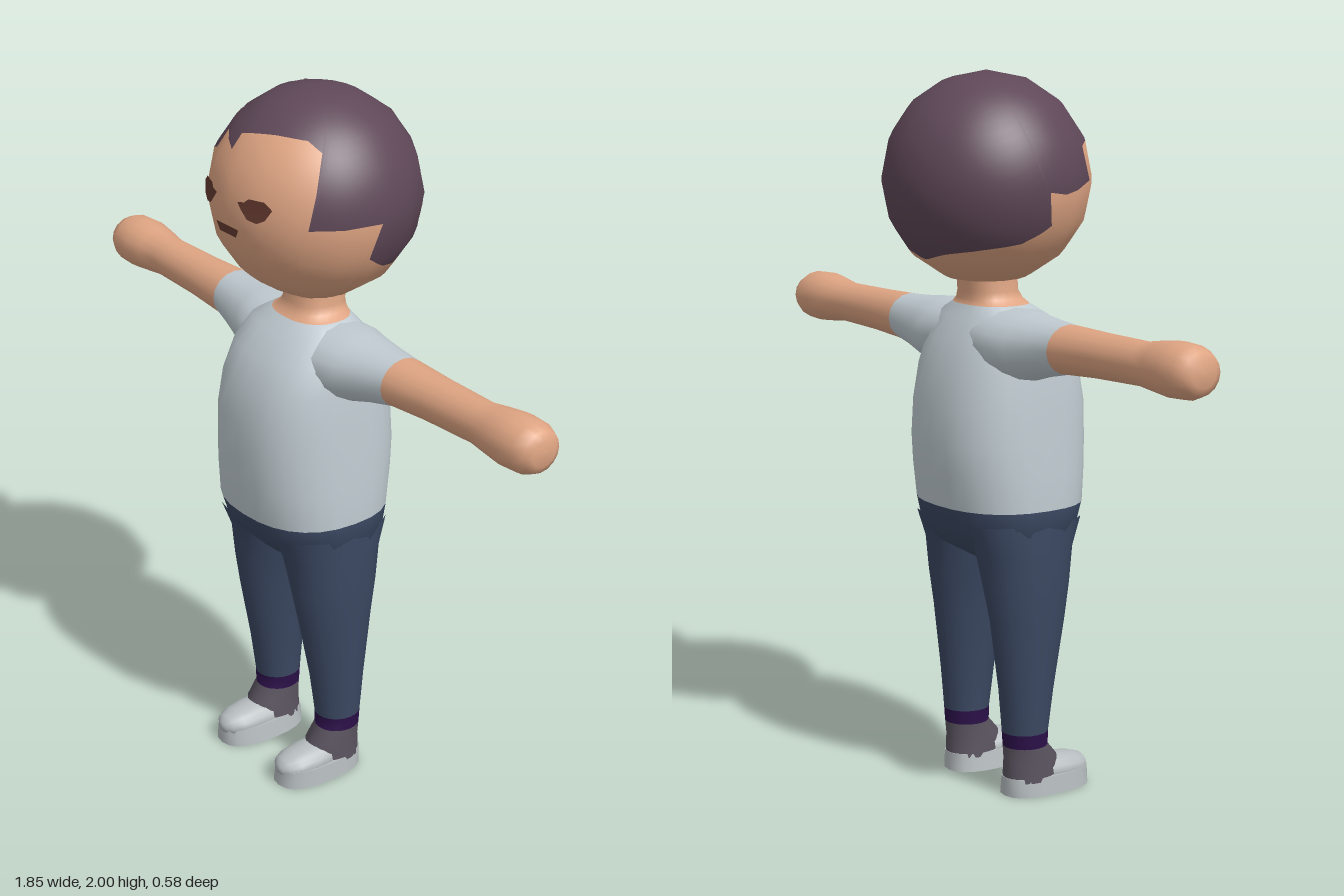
import * as THREE from 'three';

const mat = (name, color) => {
  const m = new THREE.MeshStandardMaterial({ color });
  m.name = name;
  return m;
};

const HEAD_Y = 1.71, HEAD_R = 0.29;
const DEG = Math.PI / 180;

// Hairline heights by column angle: 0 is the front, positive is the model's left
const HAIRLINE = [
  [-180, 1.5], [-163, 1.52], [-122, 1.55], [-114, 1.57], [-104, 1.6], [-102, 1.69],
  [-90, 1.68], [-59, 1.71], [-57, 1.8], [-38, 1.83], [-36, 1.88], [-25, 1.88], [-12, 1.86], [-10, 1.9],
  [0, 1.91], [21, 1.92], [45, 1.915], [56, 1.89], [57.5, 1.84], [59, 1.7],
  [102, 1.7], [104, 1.6], [114, 1.57], [122, 1.55], [163, 1.52], [180, 1.5],
];

function hairHeight(deg) {
  for (let i = 1; i < HAIRLINE.length; i++) {
    const [a0, y0] = HAIRLINE[i - 1], [a1, y1] = HAIRLINE[i];
    if (deg <= a1) return y0 + (y1 - y0) * (deg - a0) / (a1 - a0);
  }
  return HAIRLINE[0][1];
}

// Radius factor that turns a circle into a 16-sided outline
function facet(angle) {
  const step = 22.5 * DEG, m = ((angle % step) + step) % step;
  return Math.cos(step / 2) / Math.cos(m - step / 2);
}

// Part of the head above (hair) or below (skin) the hairline
function headGeometry(upper) {
  const cols = 180, rows = 20, pos = [], nor = [], index = [];
  for (let i = 0; i <= rows; i++) {
    for (let j = 0; j <= cols; j++) {
      const deg = -180 + 360 * j / cols, a = deg * DEG;
      const edge = Math.acos((hairHeight(deg) - HEAD_Y) / HEAD_R);
      const theta = upper ? edge * i / rows : edge + (Math.PI - edge) * i / rows;
      // columns lean forward as they go down, so the temples slant
      const phi = a - Math.sin(a) * 1.3 * (1.87 - HEAD_Y - HEAD_R * Math.cos(theta));
      const n = [Math.sin(theta) * Math.sin(phi), Math.cos(theta), Math.sin(theta) * Math.cos(phi)];
      const rv = HEAD_R * facet(theta), rh = rv * facet(phi);
      pos.push(n[0] * rh, HEAD_Y + n[1] * rv, n[2] * rh);
      nor.push(...n);
      if (i < rows && j < cols) {
        const p = i * (cols + 1) + j, q = p + cols + 1;
        index.push(p, q, p + 1, p + 1, q, q + 1);
      }
    }
  }
  const g = new THREE.BufferGeometry();
  g.setAttribute('position', new THREE.Float32BufferAttribute(pos, 3));
  g.setAttribute('normal', new THREE.Float32BufferAttribute(nor, 3));
  g.setIndex(index);
  return g;
}

// Thin face detail wrapped onto the front of the head
function facePlate(points) {
  const g = new THREE.ShapeGeometry(new THREE.Shape(points.map(p => new THREE.Vector2(...p))));
  const p = g.attributes.position, r = HEAD_R + 0.003;
  for (let i = 0; i < p.count; i++) {
    p.setZ(i, Math.sqrt(r * r - p.getX(i) ** 2 - (p.getY(i) - HEAD_Y) ** 2));
  }
  g.computeVertexNormals();
  return g;
}

// Skin over rings [t, u centre, u radius, v centre, v radius, material index of the band above].
// The basis says which directions u, t and v run in; power sets how square the rings are.
function loft(rings, { basis = [[1, 0, 0], [0, 1, 0], [0, 0, 1]], power = 2, sides = 20 } = {}) {
  const [U, T, V] = basis.map(b => new THREE.Vector3(...b));
  const flip = new THREE.Vector3().crossVectors(U, T).dot(V) < 0;
  const g = new THREE.BufferGeometry(), pos = [], index = [];
  const round = c => Math.sign(c) * Math.abs(c) ** (2 / power);
  rings.forEach(([t, cu, ru, cv, rv, m = 0], i) => {
    const start = index.length;
    for (let j = 0; j < sides; j++) {
      const a = 2 * Math.PI * j / sides;
      const p = new THREE.Vector3().addScaledVector(T, t)
        .addScaledVector(U, cu + ru * round(Math.cos(a)))
        .addScaledVector(V, cv + rv * round(Math.sin(a)));
      pos.push(p.x, p.y, p.z);
      if (i < rings.length - 1) {
        const A = i * sides + j, B = i * sides + (j + 1) % sides, C = A + sides, D = B + sides;
        index.push(...(flip ? [A, B, C, B, D, C] : [A, C, B, B, C, D]));
      }
    }
    if (index.length > start) g.addGroup(start, index.length - start, m);
  });
  g.setAttribute('position', new THREE.Float32BufferAttribute(pos, 3));
  g.setIndex(index);
  g.computeVertexNormals();
  return g;
}

export function createModel() {
  const skin = mat('skin', 0xdfa583), hair = mat('hair', 0x5f4858), shirt = mat('shirt', 0xbfcad0);
  const jeans = mat('jeans', 0x3b4862), band = mat('ankle band', 0x2b1048), upper = mat('shoe upper', 0x5b5460);
  const rubber = mat('shoe rubber', 0xb6bcbf), tread = mat('shoe tread', 0x6b4032), face = mat('face detail', 0x63392f);

  const model = new THREE.Group();
  model.name = 'standingBoy';
  const add = (name, geometry, material, parent = model) => {
    const mesh = new THREE.Mesh(geometry, material);
    mesh.name = name;
    parent.add(mesh);
    return mesh;
  };

  // Head
  const head = new THREE.Group();
  head.name = 'head';
  model.add(head);
  add('face', headGeometry(false), skin, head);
  add('hair', headGeometry(true), hair, head);
  const eye = [[0.045, 1.753], [0.068, 1.757], [0.08, 1.768], [0.125, 1.768], [0.147, 1.75],
    [0.13, 1.72], [0.108, 1.708], [0.08, 1.713], [0.06, 1.735]];
  add('leftEye', facePlate(eye), face, head);
  add('rightEye', facePlate(eye.map(([x, y]) => [-x, y]).reverse()), face, head);
  add('mouth', facePlate([[-0.048, 1.675], [-0.035, 1.651], [0.035, 1.651], [0.048, 1.675]]), face, head);

  // Hips, shirt and neck in one smooth skin
  add('torso', loft([
    [0.64, 0, 0.01, 0.02, 0.02], [0.66, 0, 0.07, 0.025, 0.06], [0.70, 0, 0.19, 0.035, 0.14],
    [0.75, 0, 0.232, 0.04, 0.185], [0.82, 0, 0.235, 0.043, 0.208, 1], [0.92, 0, 0.231, 0.04, 0.221, 1],
    [1.0, 0, 0.226, 0.038, 0.227, 1], [1.1, 0, 0.22, 0.04, 0.225, 1], [1.2, 0, 0.212, 0.04, 0.206, 1],
    [1.28, 0, 0.2, 0.035, 0.17, 1], [1.34, 0, 0.175, 0.025, 0.122, 1], [1.37, 0, 0.115, 0.015, 0.09, 2],
    [1.385, 0, 0.093, 0.01, 0.082, 2], [1.405, 0, 0.084, 0.005, 0.076, 2], [1.46, 0, 0.084, 0, 0.076, 2],
  ], { power: 2.4, sides: 28 }), [jeans, shirt, skin]);

  for (const s of [1, -1]) {
    const side = s > 0 ? 'left' : 'right';

    // Sleeve, arm and rounded fist along x
    add(side + 'Arm', loft([
      [0.08, 1.275, 0.09, 0.01, 0.13], [0.16, 1.273, 0.096, 0.01, 0.13], [0.22, 1.272, 0.091, 0.007, 0.112],
      [0.29, 1.279, 0.078, 0.004, 0.094], [0.375, 1.286, 0.067, 0, 0.075, 1], [0.52, 1.289, 0.061, 0, 0.065, 1],
      [0.7, 1.291, 0.058, 0, 0.06, 1], [0.76, 1.293, 0.066, 0, 0.07, 1], [0.82, 1.294, 0.073, 0, 0.078, 1],
      [0.88, 1.294, 0.07, 0, 0.075, 1], [0.912, 1.294, 0.056, 0, 0.06, 1], [0.923, 1.294, 0.035, 0, 0.038, 1],
      [0.924, 1.294, 0, 0, 0],
    ], { basis: [[0, 1, 0], [s, 0, 0], [0, 0, 1]], sides: 16 }), [shirt, skin]);

    // Shoe upper, ankle band and trouser leg
    const mirrored = [[s, 0, 0], [0, 1, 0], [0, 0, 1]];
    add(side + 'Leg', loft([
      [0.04, 0.14, 0.065, 0.05, 0.083], [0.1, 0.141, 0.062, 0.05, 0.081], [0.14, 0.142, 0.061, 0.032, 0.064, 1],
      [0.18, 0.142, 0.062, 0.031, 0.066, 2], [0.3, 0.142, 0.07, 0.034, 0.08, 2], [0.5, 0.138, 0.088, 0.04, 0.112, 2],
      [0.6, 0.132, 0.1, 0.04, 0.13, 2], [0.7, 0.121, 0.113, 0.04, 0.146, 2], [0.78, 0.116, 0.117, 0.042, 0.18, 2],
    ], { basis: mirrored }), [upper, band, jeans]);

    // Sole with a separate tread; doubled rings keep its rims sharp
    const bottom = [0, 0.138, 0.074, 0.102, 0.137], top = [0.052, 0.14, 0.067, 0.101, 0.135];
    add(side + 'Sole', loft([
      [0, 0.138, 0, 0.102, 0, 1], [...bottom, 1], bottom, top, top, [0.052, 0.14, 0, 0.101, 0],
    ], { basis: mirrored, power: 2.5 }), [rubber, tread]);

    // Toe cap along z
    add(side + 'ToeCap', loft([
      [0.09, 0.14, 0.06, 0.055, 0.045], [0.14, 0.14, 0.062, 0.055, 0.044], [0.19, 0.139, 0.056, 0.054, 0.037],
      [0.222, 0.138, 0.04, 0.052, 0.029], [0.236, 0.138, 0.018, 0.05, 0.015], [0.238, 0.138, 0, 0.05, 0],
    ], { basis: [[s, 0, 0], [0, 0, 1], [0, 1, 0]], sides: 16 }), [rubber]);
  }
  return model;
}
